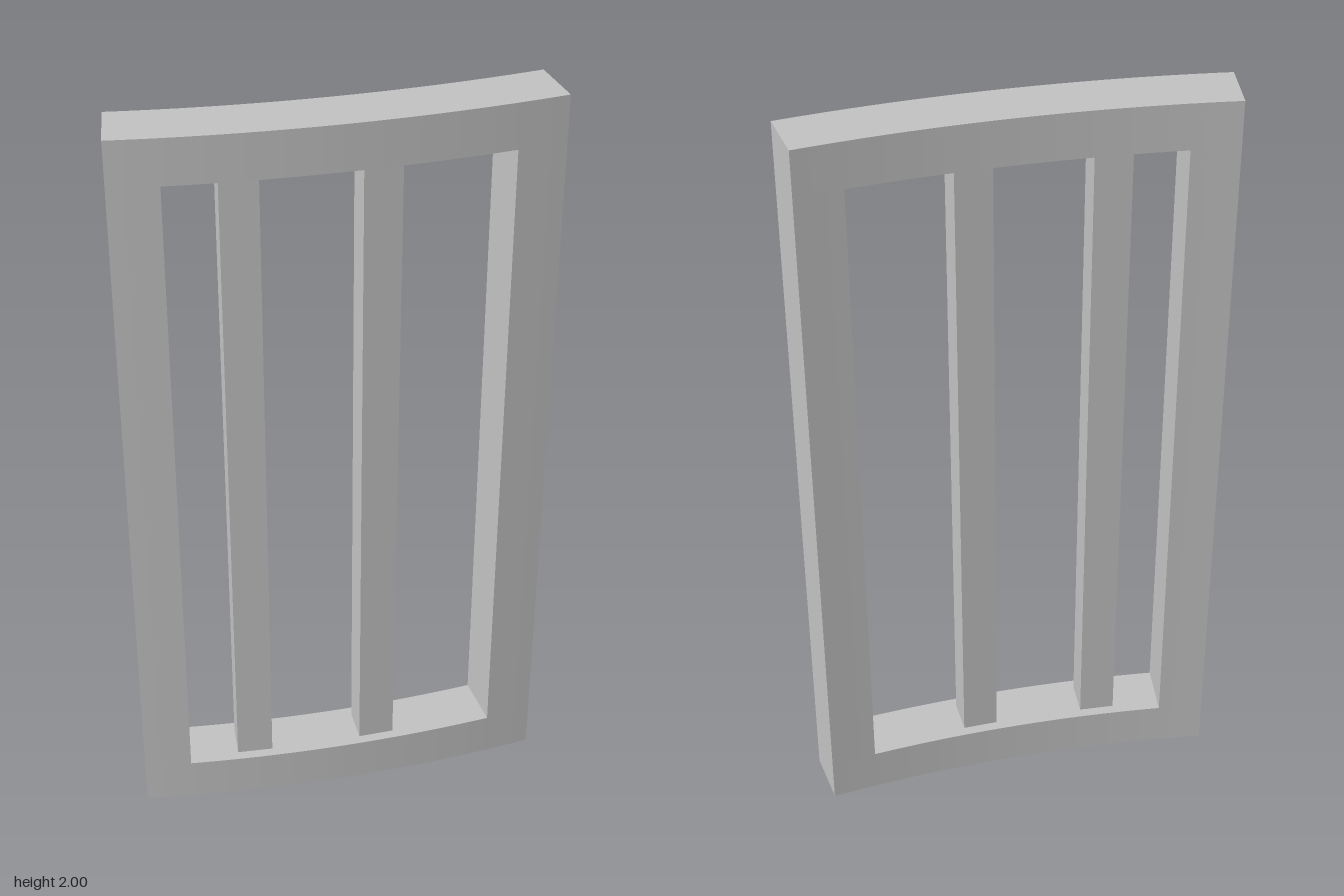
import * as THREE from 'three';

const CENTRE_Z = -3.94; // axis of the shared curvature
const R_BACK = 3.882, R_FRONT = 4.03;
const END = 0.1356, OPENING = 0.1045; // half angles of frame and opening
const RAIL = 0.12, HEIGHT = 2;

// Upright slab whose plan is a ring sector between two radii and two angles
function sector(name, material, a0, a1, r0, r1, y, height, steps) {
  const points = [];
  const add = (r, a) => points.push(new THREE.Vector2(r * Math.sin(a), -(CENTRE_Z + r * Math.cos(a))));
  for (let i = 0; i <= steps; i++) add(r1, a0 + (a1 - a0) * i / steps);
  for (let i = steps; i >= 0; i--) add(r0, a0 + (a1 - a0) * i / steps);
  const geometry = new THREE.ExtrudeGeometry(new THREE.Shape(points), { depth: height, bevelEnabled: false });
  geometry.rotateX(-Math.PI / 2);
  const mesh = new THREE.Mesh(geometry, material);
  mesh.name = name;
  mesh.position.y = y;
  return mesh;
}

export function createModel() {
  const group = new THREE.Group();
  group.name = 'curvedBarredFrame';
  const grey = new THREE.MeshStandardMaterial({ color: 0xc0c0c0 });
  grey.name = 'light grey';
  const inner = HEIGHT - 2 * RAIL;

  // Curved rails
  group.add(sector('bottomRail', grey, -END, END, R_BACK, R_FRONT, 0, RAIL, 24));
  group.add(sector('topRail', grey, -END, END, R_BACK, R_FRONT, HEIGHT - RAIL, RAIL, 24));

  // Side stiles
  group.add(sector('rightStile', grey, -END, -OPENING, R_BACK, R_FRONT, RAIL, inner, 3));
  group.add(sector('leftStile', grey, OPENING, END, R_BACK, R_FRONT, RAIL, inner, 3));

  // Two thinner vertical bars, set mid-depth
  const mid = (R_BACK + R_FRONT) / 2, half = 0.047;
  for (const [name, angle] of [['rightBar', -0.0599], ['leftBar', 0.0252]]) {
    const spread = half / mid;
    group.add(sector(name, grey, angle - spread, angle + spread, mid - half, mid + half, RAIL, inner, 1));
  }
  return group;
}
